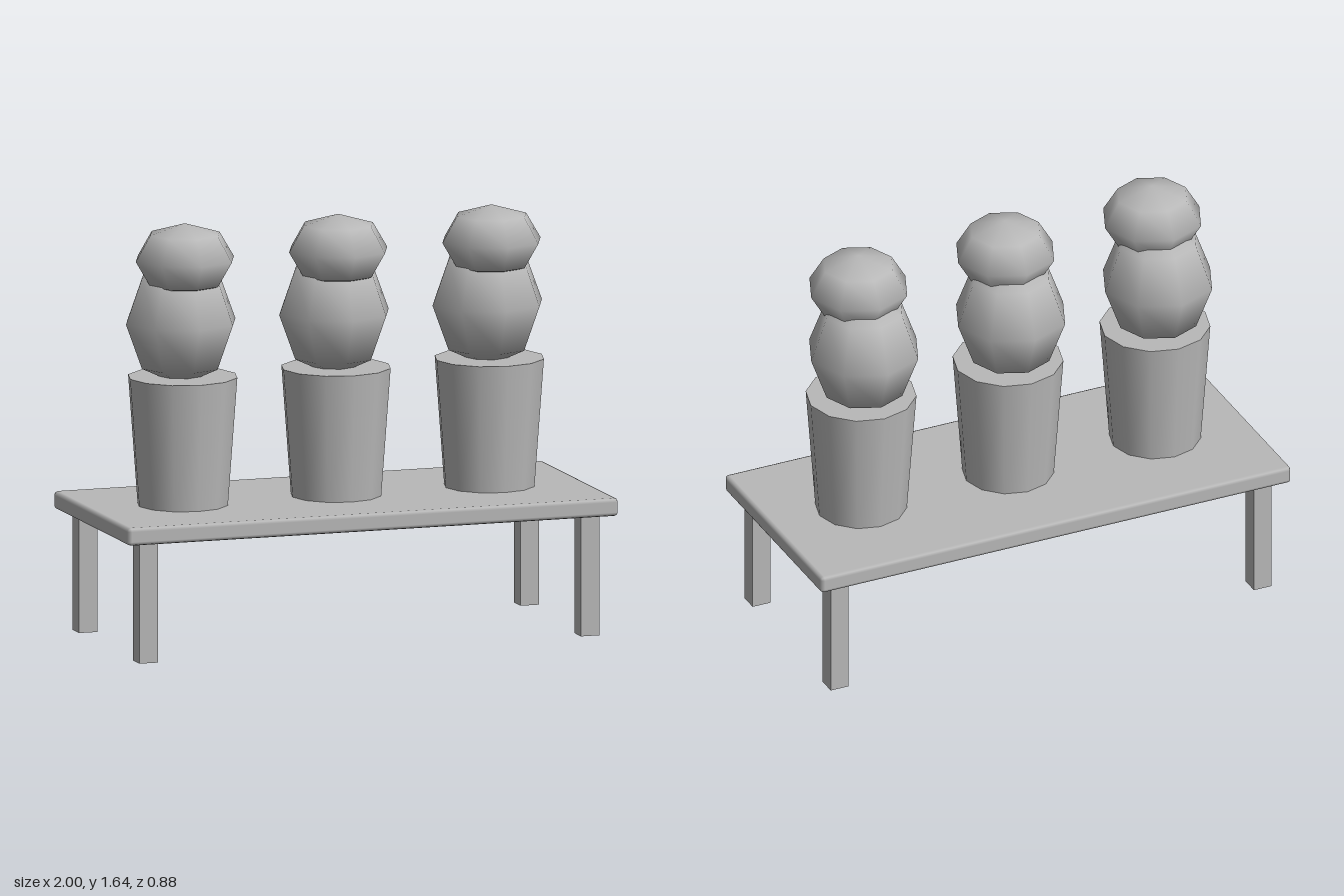
import * as THREE from 'three';
import { RoundedBoxGeometry } from 'three/addons/geometries/RoundedBoxGeometry.js';

const grey = new THREE.MeshStandardMaterial({ color: 0xb8b8b8 });
grey.name = 'plain grey';

function part(name, geometry, x, y, z) {
  const mesh = new THREE.Mesh(geometry, grey);
  mesh.name = name;
  mesh.position.set(x, y, z);
  return mesh;
}

// Coarse smooth ball: eight sides, stretched in height
function ball(radius, halfHeight) {
  return new THREE.SphereGeometry(radius, 8, 4).scale(1, halfHeight / radius, 1);
}

export function createModel() {
  const model = new THREE.Group();
  model.name = 'pottedPlantsOnTable';

  // Table: chamfered top on four square legs
  const table = new THREE.Group();
  table.name = 'table';
  table.add(part('tableTop', new RoundedBoxGeometry(2, 0.07, 0.88, 1, 0.015), 0, 0.505, 0));
  const legGeometry = new THREE.BoxGeometry(0.075, 0.48, 0.075);
  for (const [sx, side] of [[1, 'Left'], [-1, 'Right']]) {
    for (const [sz, end] of [[1, 'front'], [-1, 'back']]) {
      table.add(part(end + side + 'Leg', legGeometry, 0.9 * sx, 0.24, 0.353 * sz));
    }
  }
  model.add(table);

  // Three identical pots, each holding a two-lobed plant
  const potGeometry = new THREE.CylinderGeometry(0.214, 0.177, 0.5, 12);
  const lowerGeometry = ball(0.223, 0.25);
  const upperGeometry = ball(0.2, 0.14);
  for (const x of [-0.625, 0, 0.625]) {
    const plant = new THREE.Group();
    plant.name = 'pottedPlant';
    plant.position.x = x;
    plant.add(
      part('pot', potGeometry, 0, 0.79, 0),
      part('lowerLobe', lowerGeometry, 0, 1.25, -0.024),
      part('upperLobe', upperGeometry, 0, 1.502, 0.025)
    );
    model.add(plant);
  }
  return model;
}
